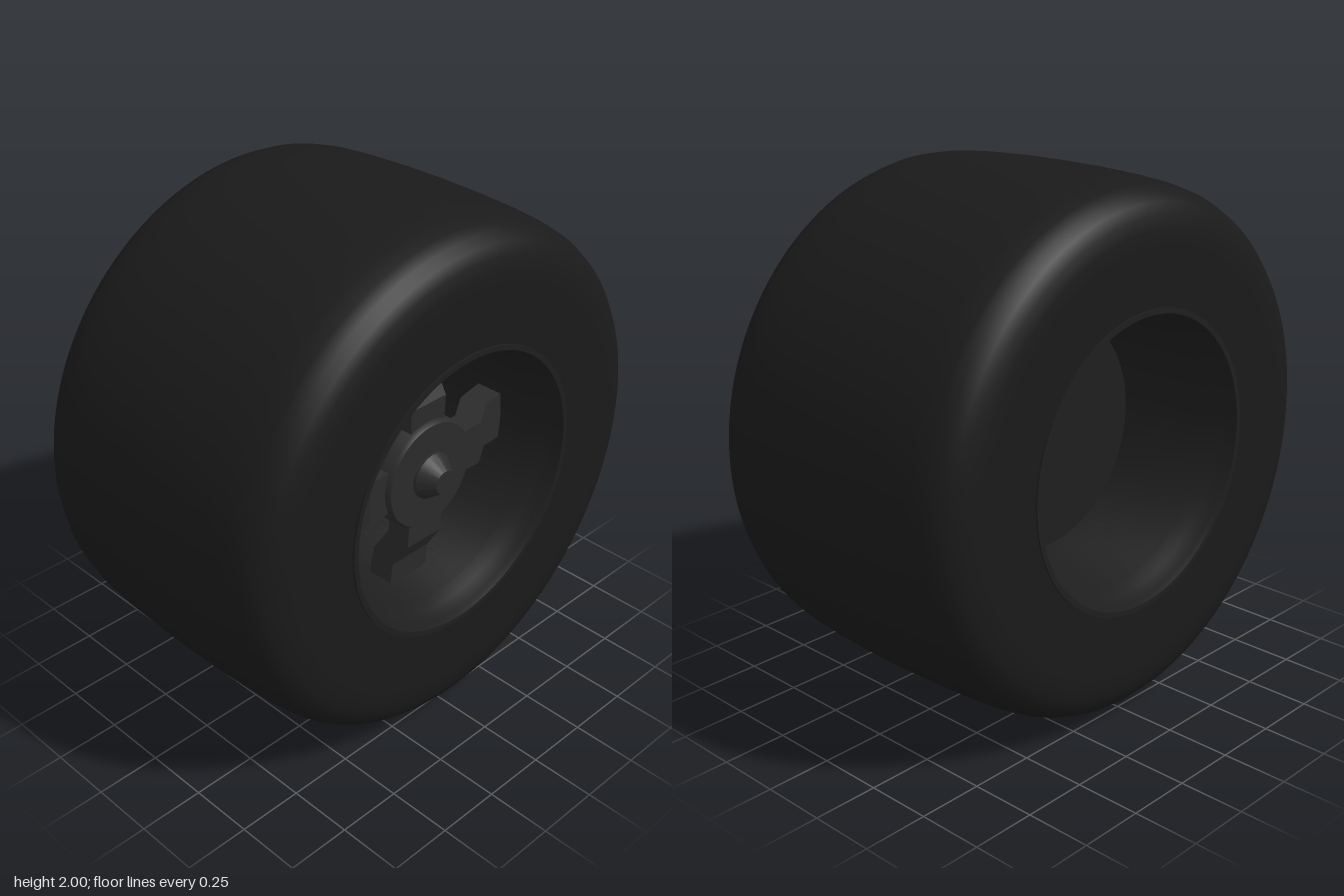
import * as THREE from 'three';
import { toCreasedNormals } from 'three/addons/utils/BufferGeometryUtils.js';

const mat = (color) => new THREE.MeshStandardMaterial({ color });
const rubber = mat(0x1a1a1a);
const darkMetal = mat(0x2b2b2b);
const drumBlack = mat(0x1e1e1e);
const grey = mat(0xcccccc);

// Revolves [radius, x] pairs about the x axis
function turned(name, profile, material, crease = 0.6, segments = 96) {
  const points = profile.map(([r, x]) => new THREE.Vector2(r, x));
  const geometry = new THREE.LatheGeometry(points, segments).rotateZ(-Math.PI / 2);
  const mesh = new THREE.Mesh(toCreasedNormals(geometry, crease), material);
  mesh.name = name;
  return mesh;
}

// Cranked spoke: bent side profile, slightly wider towards the rim
function makeSpoke() {
  const shape = new THREE.Shape();
  [[0.41, 0.1], [0.41, 0.29], [0.34, 0.4], [0.33, 0.512], [0.22, 0.512], [0.24, 0.37], [0.31, 0.26], [0.31, 0.1]]
    .forEach(([x, y], i) => (i ? shape.lineTo(x, y) : shape.moveTo(x, y)));
  const geometry = new THREE.ExtrudeGeometry(shape, { depth: 1, bevelEnabled: false }).translate(0, 0, -0.5);
  const p = geometry.attributes.position;
  for (let i = 0; i < p.count; i++) p.setZ(i, p.getZ(i) * (0.155 + 0.08 * p.getY(i)));
  geometry.computeVertexNormals();
  return toCreasedNormals(geometry, 0.4);
}

export function createModel() {
  const group = new THREE.Group();
  const wheel = new THREE.Group();
  wheel.name = 'wheel';
  wheel.position.y = 1;
  group.add(wheel);

  // Tyre: half of the tread curve mirrored to the other shoulder
  const half = [[0.55, 0.595], [0.78, 0.6], [0.83, 0.598], [0.88, 0.587], [0.92, 0.567],
    [0.95, 0.535], [0.97, 0.49], [0.983, 0.42], [0.992, 0.31], [0.998, 0.16]];
  const outer = [
    ...half.map(([r, x]) => [r, -x]), [1, 0], ...half.slice().reverse(),
  ];
  wheel.add(turned('tyre', [...outer, [0.53, 0.5], [0.53, -0.5], [0.55, -0.595]], rubber, 0.6, 128));

  // Rim barrel with a lip at both ends
  wheel.add(turned('rimBarrel', [
    [0.5, -0.48], [0.525, -0.52], [0.533, -0.58], [0.54, -0.602], [0.56, -0.602], [0.56, -0.57],
    [0.54, -0.5], [0.54, 0.5], [0.56, 0.57], [0.56, 0.604], [0.54, 0.604], [0.533, 0.58],
    [0.525, 0.52], [0.5, 0.48], [0.5, -0.48],
  ], drumBlack));

  // Four spokes
  const spokeGeometry = makeSpoke();
  for (let i = 0; i < 4; i++) {
    const spoke = new THREE.Mesh(spokeGeometry, darkMetal);
    spoke.name = 'spoke' + (i + 1);
    spoke.rotation.x = (i * Math.PI) / 2;
    wheel.add(spoke);
  }

  // Hub with stepped edge, and the conical centre nut
  wheel.add(turned('hub', [
    [0, 0.29], [0.19, 0.29], [0.215, 0.32], [0.215, 0.415], [0.205, 0.43], [0, 0.43],
  ], darkMetal));
  wheel.add(turned('centreNut', [
    [0, 0.42], [0.09, 0.42], [0.09, 0.44], [0.075, 0.46], [0.045, 0.5], [0, 0.5],
  ], darkMetal, 0.5, 48));

  // Axle, brake drum and its pale ring
  wheel.add(turned('axle', [[0, -0.05], [0.09, -0.05], [0.09, 0.3], [0, 0.3]], darkMetal, 0.6, 48));
  wheel.add(turned('brakeDrum', [
    [0, -0.14], [0.445, -0.14], [0.445, -0.02], [0, -0.02],
  ], drumBlack));
  wheel.add(turned('brakeRing', [
    [0.44, -0.1], [0.46, -0.1], [0.46, -0.06], [0.44, -0.06], [0.44, -0.1],
  ], grey));

  return group;
}
